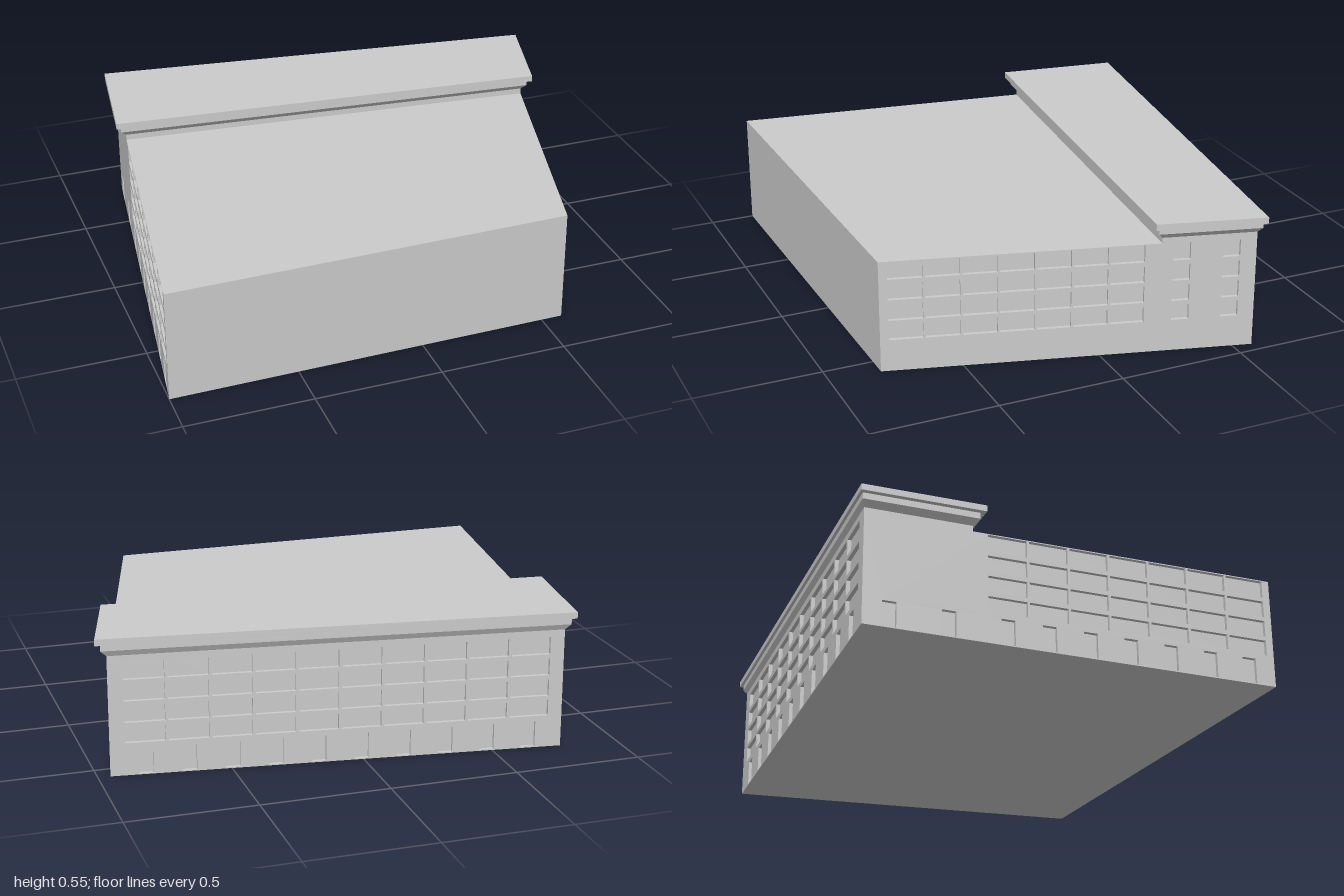
import * as THREE from 'three';
import { mergeGeometries } from 'three/addons/utils/BufferGeometryUtils.js';

const ROOF = 0.449, UPPER = 0.472, DEPTH = 0.015;
const ROWS = [[0.128, 0.19], [0.208, 0.274], [0.292, 0.358], [0.376, 0.445]];
const DOOR = [0.004, 0.106];
const V = (x, z) => new THREE.Vector2(x, z); // plan point (x, z)
const grey = new THREE.MeshStandardMaterial({ color: 0xcccccc, flatShading: true });

function mesh(name, geometry) {
  const m = new THREE.Mesh(geometry, grey);
  m.name = name;
  return m;
}

// Open-fronted recess: a box turned inside out without its front face
function recess(u0, u1, v0, v1) {
  const g = new THREE.BoxGeometry(u1 - u0, v1 - v0, DEPTH);
  const i = Array.from(g.index.array);
  g.setIndex([...i.slice(0, 24), ...i.slice(30)].reverse());
  g.clearGroups();
  g.translate((u0 + u1) / 2, (v0 + v1) / 2, -DEPTH / 2);
  const flat = g.toNonIndexed();
  flat.computeVertexNormals();
  return flat;
}

// Wall from p to q (left to right seen from outside) with recessed openings
function wall(name, p, q, outline, openings = []) {
  const len = p.distanceTo(q);
  const shape = new THREE.Shape(outline.map(([f, y]) => new THREE.Vector2(f * len, y)));
  const group = new THREE.Group();
  group.name = name;
  for (const [u0, u1, v0, v1] of openings) {
    shape.holes.push(new THREE.Path([V(u0, v0), V(u0, v1), V(u1, v1), V(u1, v0)]));
  }
  group.add(mesh(name + 'Face', new THREE.ShapeGeometry(shape)));
  if (openings.length) {
    group.add(mesh(name + 'Openings', mergeGeometries(openings.map((o) => recess(...o)))));
  }
  group.position.set(p.x, 0, p.y);
  group.rotation.y = Math.atan2(-(q.y - p.y), q.x - p.x);
  return group;
}

// Grid of windows between two fractions of a wall's length
function windowGrid(len, f0, f1, columns, gap) {
  const list = [], pitch = ((f1 - f0) * len) / columns;
  for (let c = 0; c < columns; c++) {
    const u = f0 * len + c * pitch;
    for (const [v0, v1] of ROWS) list.push([u + gap / 2, u + pitch - gap / 2, v0, v1]);
  }
  return list;
}

const doors = (len, fractions, width) =>
  fractions.map((f) => [f * len - width / 2, f * len + width / 2, ...DOOR]);

const columnCentres = (f0, f1, n) =>
  Array.from({ length: n }, (_, i) => f0 + ((f1 - f0) * (i + 0.5)) / n);

// Horizontal polygon facing up or down
function slab(name, points, y, up = true) {
  const g = new THREE.ShapeGeometry(new THREE.Shape(points.map((p) => V(p.x, up ? -p.y : p.y))));
  g.rotateX(up ? -Math.PI / 2 : Math.PI / 2);
  g.translate(0, y, 0);
  return mesh(name, g);
}

// Mitred outward offset of a plan polygon, with one distance per edge
function offset(points, distances) {
  const n = points.length;
  const edge = (i) => {
    const d = points[(i + 1) % n].clone().sub(points[i]).normalize();
    const normal = V(-d.y, d.x);
    return { normal, c: normal.dot(points[i]) + distances[i] };
  };
  return points.map((_, i) => {
    const a = edge((i + n - 1) % n), b = edge(i);
    const det = a.normal.cross(b.normal);
    return V((a.c * b.normal.y - b.c * a.normal.y) / det, (a.normal.x * b.c - b.normal.x * a.c) / det);
  });
}

// Moulding that carries a profile of [overhang, height] around a plan polygon
function moulding(name, points, profile, factors) {
  // the plan is wound so that the outward normal of edge d is (-dz, dx)
  const rings = profile.map(([o]) => offset(points, factors.map((f) => f * o)));
  const pos = [], n = points.length;
  for (let r = 0; r < rings.length - 1; r++) {
    for (let i = 0; i < n; i++) {
      const j = (i + 1) % n;
      const at = (k, e) => [rings[k][e].x, profile[k][1], rings[k][e].y];
      const a = at(r, i), b = at(r, j), c = at(r + 1, j), d = at(r + 1, i);
      pos.push(...a, ...b, ...c, ...a, ...c, ...d);
    }
  }
  const g = new THREE.BufferGeometry();
  g.setAttribute('position', new THREE.Float32BufferAttribute(pos, 3));
  g.computeVertexNormals();
  return { part: mesh(name, g), top: rings[rings.length - 1] };
}

export function createModel() {
  const model = new THREE.Group();
  model.name = 'building';

  // Plan corners, and the ends of the step up to the taller rear block
  const A = V(-1, 0.82), B = V(0.585, 0.8), C = V(0.953, -0.575), D = V(-0.77, -0.797);
  const stepR = 0.745, stepL = 0.257;
  const R = B.clone().lerp(C, stepR), L = D.clone().lerp(A, stepL);
  const right = B.distanceTo(C), back = C.distanceTo(D), left = D.distanceTo(A);

  // Front: blank wall
  model.add(wall('frontWall', A, B, [[0, 0], [1, 0], [1, ROOF], [0, ROOF]]));

  // Right: seven window bays, then two narrow window columns
  model.add(wall('rightWall', B, C,
    [[0, 0], [1, 0], [1, UPPER], [stepR, UPPER], [stepR, ROOF], [0, ROOF]],
    [
      ...windowGrid(right, 0.02, 0.703, 7, 0.009),
      ...windowGrid(right, 0.775, 0.822, 1, 0),
      ...windowGrid(right, 0.909, 0.956, 1, 0),
    ]));

  // Back: ten window bays, each above a door
  model.add(wall('backWall', C, D, [[0, 0], [1, 0], [1, UPPER], [0, UPPER]],
    [
      ...windowGrid(back, 0.03, 0.972, 10, 0.012),
      ...doors(back, columnCentres(0.03, 0.972, 10), 0.055),
    ]));

  // Left: doors along the whole base, seven window bays on the lower block
  model.add(wall('leftWall', D, A,
    [[0, 0], [1, 0], [1, ROOF], [stepL, ROOF], [stepL, UPPER], [0, UPPER]],
    [
      ...windowGrid(left, 0.29, 0.985, 7, 0.009),
      ...doors(left, [0.062, 0.2, ...columnCentres(0.29, 0.985, 7)], 0.055),
    ]));

  // Step wall between the two roof levels
  model.add(wall('stepWall', L, R, [[0, ROOF], [1, ROOF], [1, UPPER], [0, UPPER]]));

  // Roofs, floor and cornice; the back overhang is shallower
  model.add(slab('lowerRoof', [A, B, R, L], ROOF));
  model.add(slab('floor', [A, B, C, D], 0, false));
  const cornice = moulding('cornice', [R, C, D, L],
    [[0, UPPER], [0.021, 0.495], [0.021, 0.52], [0.04, 0.52], [0.04, 0.545]],
    [1, 0.6, 1, 1]);
  // edges: right, back, left, front
  model.add(cornice.part);
  model.add(slab('upperRoof', cornice.top, 0.545));
  return model;
}
